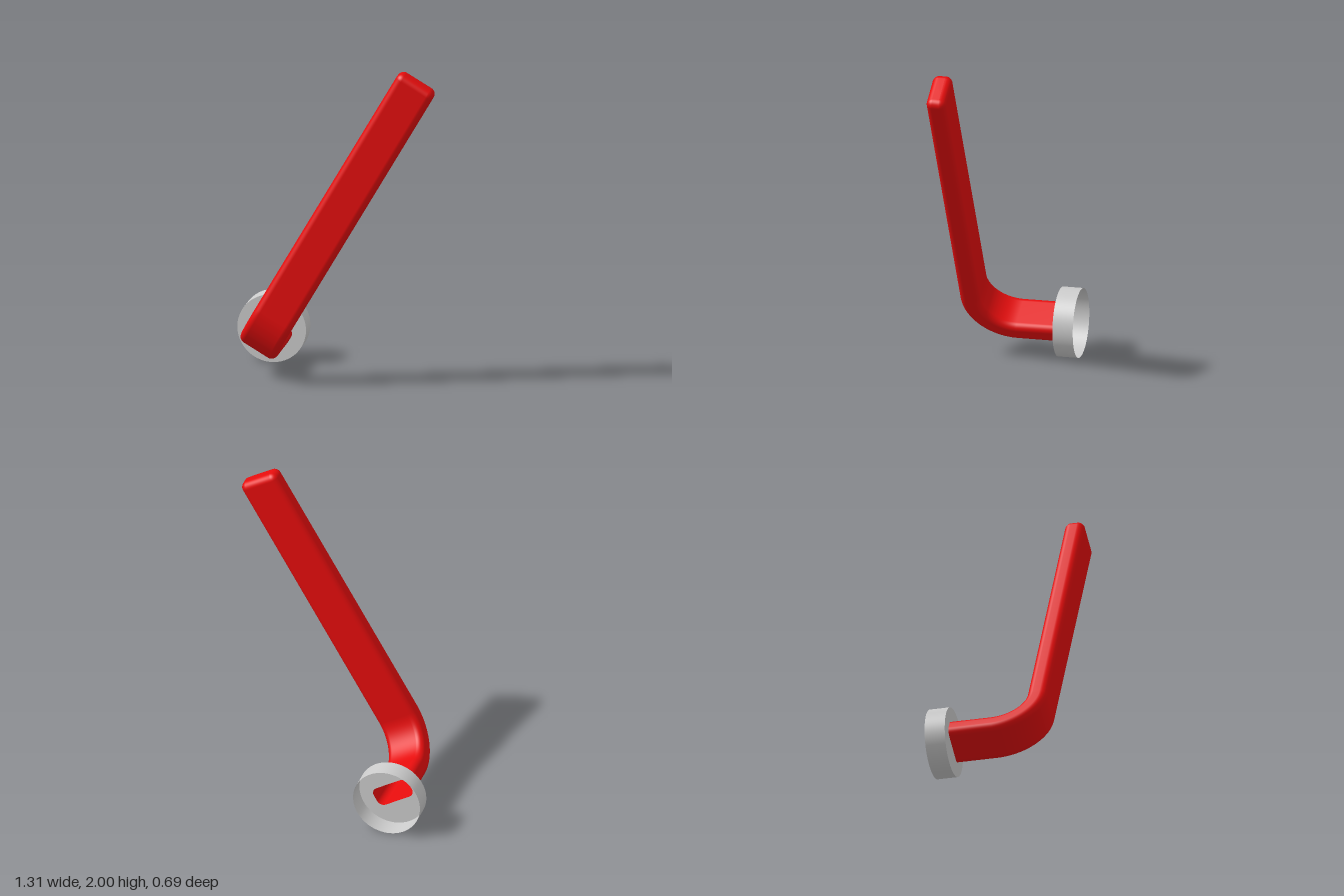
import * as THREE from 'three';

const HALF_W = 0.126, HALF_T = 0.06, EDGE = 0.04; // lever section
const BEND = 0.26, LENGTH = 2.012, BACK = -0.345, PLATE = -0.22, CUP_R = 0.21;

// Rounded rectangle outline, counter-clockwise; r shrinks towards the rounded tip
function section(r) {
  const points = [];
  const steps = 8;
  [[1, 1], [-1, 1], [-1, -1], [1, -1]].forEach(([sx, sy], k) => {
    for (let i = 0; i <= steps; i++) {
      const a = (k + i / steps) * Math.PI / 2;
      points.push(new THREE.Vector2(
        sx * (HALF_W - EDGE) + r * Math.cos(a),
        sy * (HALF_T - EDGE) + r * Math.sin(a)));
    }
  });
  return points;
}

// Bar swept from the plate, round the bend and up to a softly rounded tip
function leverGeometry() {
  const stations = [{ y: 0, z: PLATE, a: 0, r: EDGE }];
  for (let i = 0; i <= 24; i++) {
    const a = i / 24 * Math.PI / 2;
    stations.push({
      y: BEND * (1 - Math.cos(a)),
      z: 0.285 - BEND + BEND * Math.sin(a), a, r: EDGE });
  }
  for (let i = 0; i <= 8; i++) {
    const t = i / 8 * Math.PI / 2;
    stations.push({
      y: LENGTH - EDGE + EDGE * Math.sin(t),
      z: 0.285, a: Math.PI / 2, r: EDGE * Math.cos(t) });
  }
  const positions = [], index = [];
  const n = section(EDGE).length;
  stations.forEach(({ y, z, a, r }, i) => {
    section(r).forEach((p, j) => {
      positions.push(p.x, y + p.y * Math.cos(a), z - p.y * Math.sin(a));
      if (i === stations.length - 1) return;
      const k = (j + 1) % n;
      const p0 = i * n + j, p1 = i * n + k;
      index.push(p0, p1, p0 + n, p1, p1 + n, p0 + n);
    });
  });
  // flat end of the tip
  const last = (stations.length - 1) * n;
  for (let j = 1; j < n - 1; j++) index.push(last, last + j, last + j + 1);
  const geometry = new THREE.BufferGeometry();
  geometry.setAttribute('position', new THREE.Float32BufferAttribute(positions, 3));
  geometry.setIndex(index);
  geometry.computeVertexNormals();
  return geometry;
}

export function createModel() {
  const model = new THREE.Group();
  const red = new THREE.MeshStandardMaterial({ color: 0xe50d0d, side: THREE.DoubleSide });
  const grey = new THREE.MeshStandardMaterial({ color: 0xcccccc, side: THREE.DoubleSide });

  // everything is built upright, then tilted about the mount axis
  const handle = new THREE.Group();
  handle.name = 'handle';
  handle.position.set(-0.447, 0.21, 0);
  handle.rotation.z = -Math.PI / 6;
  model.add(handle);

  const add = (name, geometry, material) => {
    const mesh = new THREE.Mesh(geometry, material);
    mesh.name = name;
    handle.add(mesh);
    return mesh;
  };

  add('lever', leverGeometry(), red);

  // mount cup: open at the back, front plate slotted for the lever
  const depth = PLATE - BACK;
  const wall = new THREE.CylinderGeometry(CUP_R, CUP_R, depth, 64, 1, true);
  wall.rotateX(Math.PI / 2);
  wall.translate(0, 0, BACK + depth / 2);
  add('mountWall', wall, grey);

  const disc = new THREE.Shape().absarc(0, 0, CUP_R, 0, Math.PI * 2, false);
  disc.holes.push(new THREE.Path(section(EDGE)));
  add('mountPlate', new THREE.ShapeGeometry(disc, 32), grey).position.z = PLATE;

  return model;
}
